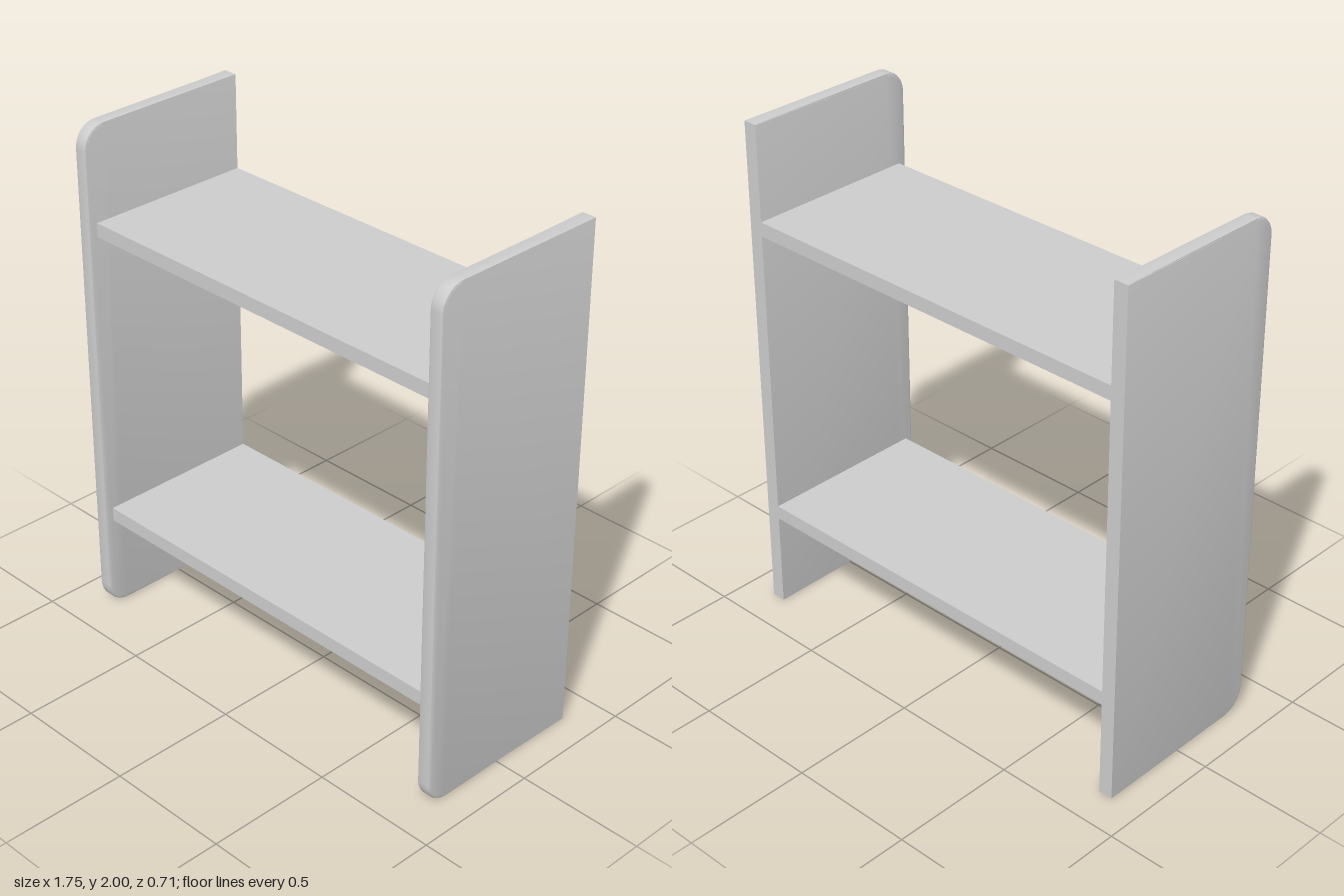
import * as THREE from 'three';
import { toCreasedNormals } from 'three/addons/utils/BufferGeometryUtils.js';

const HEIGHT = 2, BACK = -0.355, FRONT = 0.355;
const THICK = 0.056, PANEL_X = 0.845;
const CORNER = 0.09, BEVEL = 0.01;

// Side panel: square at the back, rounded corners and softened edges at the front
function panelGeometry() {
  const f = FRONT - BEVEL, lo = BEVEL, hi = HEIGHT - BEVEL, r = CORNER - BEVEL;
  const s = new THREE.Shape();
  s.moveTo(BACK, lo);
  s.lineTo(f - r, lo);
  s.absarc(f - r, lo + r, r, -Math.PI / 2, 0, false);
  s.lineTo(f, hi - r);
  s.absarc(f - r, hi - r, r, 0, Math.PI / 2, false);
  s.lineTo(BACK, hi);
  s.closePath();
  const depth = THICK - 2 * BEVEL;
  const g = new THREE.ExtrudeGeometry(s, {
    depth, curveSegments: 5,
    bevelThickness: BEVEL, bevelSize: BEVEL, bevelSegments: 2,
  });
  g.translate(0, 0, -depth / 2);
  // Flatten the back so the bevel fades out to a square edge
  const p = g.attributes.position;
  for (let i = 0; i < p.count; i++) {
    if (p.getX(i) < BACK + 1e-4) {
      p.setX(i, BACK);
      p.setY(i, p.getY(i) > HEIGHT / 2 ? HEIGHT : 0);
    }
  }
  g.rotateY(-Math.PI / 2);
  return toCreasedNormals(g, Math.PI / 6);
}

export function createModel() {
  const group = new THREE.Group();
  group.name = 'shelfUnit';
  const material = new THREE.MeshStandardMaterial({ color: 0xcccccc });

  // Side panels
  const panel = panelGeometry();
  for (const [name, side] of [['leftPanel', 1], ['rightPanel', -1]]) {
    const mesh = new THREE.Mesh(panel, material);
    mesh.name = name;
    mesh.position.x = side * PANEL_X;
    group.add(mesh);
  }

  // Shelves, flush at the back and set in slightly at the front
  const shelfDepth = 0.675;
  const shelf = new THREE.BoxGeometry(2 * PANEL_X - THICK, 0.055, shelfDepth);
  for (const [name, y] of [['lowerShelf', 0.407], ['upperShelf', 1.602]]) {
    const mesh = new THREE.Mesh(shelf, material);
    mesh.name = name;
    mesh.position.set(0, y, BACK + shelfDepth / 2);
    group.add(mesh);
  }
  return group;
}
